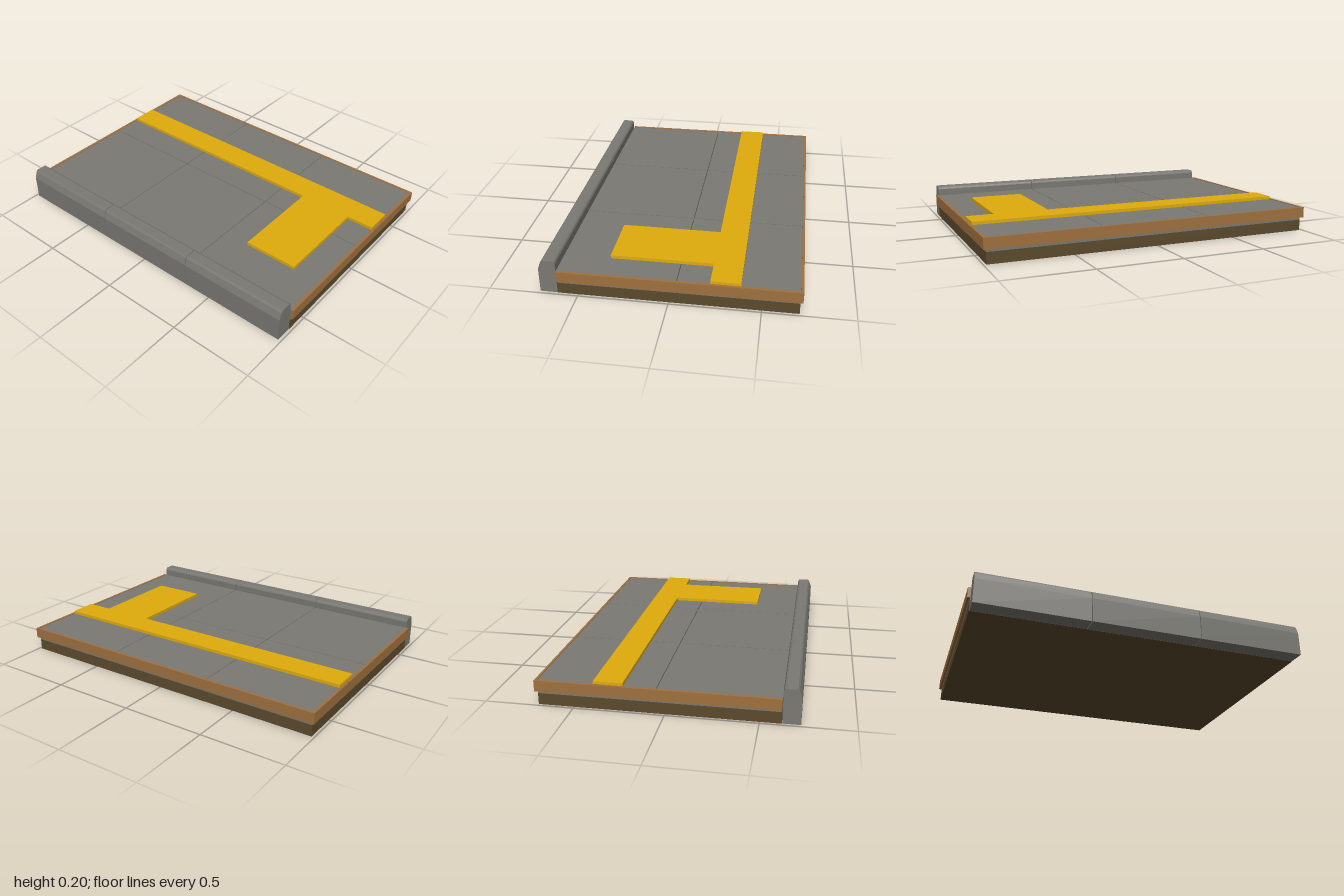
import * as THREE from 'three';

const mat = (name, color) => {
  const m = new THREE.MeshStandardMaterial({ color });
  m.name = name;
  return m;
};

export function createModel() {
  const root = new THREE.Group();
  root.name = 'platformSection';
  const concrete = mat('concrete grey', 0x7a7973);
  const yellow = mat('tactile yellow', 0xe0ac0c);
  const trim = mat('trim brown', 0xa0713f);
  const earth = mat('earth brown', 0x5c4a2d);

  // Box given by its minimum and maximum corners
  const box = (name, material, x0, x1, y0, y1, z0, z1, parent = root) => {
    const mesh = new THREE.Mesh(new THREE.BoxGeometry(x1 - x0, y1 - y0, z1 - z0), material);
    mesh.position.set((x0 + x1) / 2, (y0 + y1) / 2, (z0 + z1) / 2);
    mesh.name = name;
    parent.add(mesh);
  };
  const group = (name) => {
    const g = new THREE.Group();
    g.name = name;
    root.add(g);
    return g;
  };

  const W = 0.984, BACK = -0.7, FRONT = 0.615, SLAB = 2 * W / 3, GAP = 0.002;

  // Foundation under the paving
  box('foundation', earth, -W, W, 0, 0.066, BACK, FRONT);

  // Two rows of three square paving slabs
  const paving = group('paving');
  const rows = [[BACK, -0.045], [-0.045, FRONT]];
  for (const [z0, z1] of rows) {
    for (let i = 0; i < 3; i++) {
      const x0 = -W + i * SLAB;
      box('pavingSlab', concrete, x0 + (i > 0 ? GAP : 0), x0 + SLAB - (i < 2 ? GAP : 0),
        0.066, 0.142, z0 + (z0 > BACK ? GAP : 0), z1 - (z1 < FRONT ? GAP : 0), paving);
    }
  }

  // Trim boards on the sides and back
  box('leftTrim', trim, W, 1, 0.082, 0.145, BACK, FRONT);
  box('rightTrim', trim, -1, -W, 0.082, 0.145, BACK, FRONT);
  box('backTrim', trim, -1, 1, 0.082, 0.145, -0.714, BACK);

  // Kerb stones with chamfered tops, profile drawn as (-z, y)
  const profile = [
    [0.714, 0], [0.714, 0.145], [0.699, 0.188], [0.69, 0.199],
    [0.632, 0.199], [0.622, 0.194], [0.617, 0.183], [0.617, 0],
  ];
  const shape = new THREE.Shape(profile.map(([z, y]) => new THREE.Vector2(-z, y)));
  const kerb = group('kerb');
  for (let i = 0; i < 3; i++) {
    const length = SLAB - 2 * GAP;
    const geo = new THREE.ExtrudeGeometry(shape, { depth: length, bevelEnabled: false });
    geo.rotateY(Math.PI / 2);
    const stone = new THREE.Mesh(geo, concrete);
    stone.position.x = -W + i * SLAB + GAP;
    stone.name = 'kerbStone';
    kerb.add(stone);
  }

  // Long row of raised tactile tiles
  const tactile = group('tactilePaving');
  const T = 2 * W / 12;
  for (let i = 0; i < 12; i++) {
    box('rowTile', yellow, -W + i * T, -W + (i + 1) * T, 0.142, 0.161, -0.388, -0.225, tactile);
  }

  // Branch two tiles wide, ending in a half tile at the row
  const branch = [-0.225, -0.142, 0.022, 0.186, 0.35];
  for (let i = 0; i < 4; i++) {
    for (const x of [W - 3 * T, W - 2 * T]) {
      box('branchTile', yellow, x, x + T, 0.142, 0.161, branch[i], branch[i + 1], tactile);
    }
  }

  return root;
}
